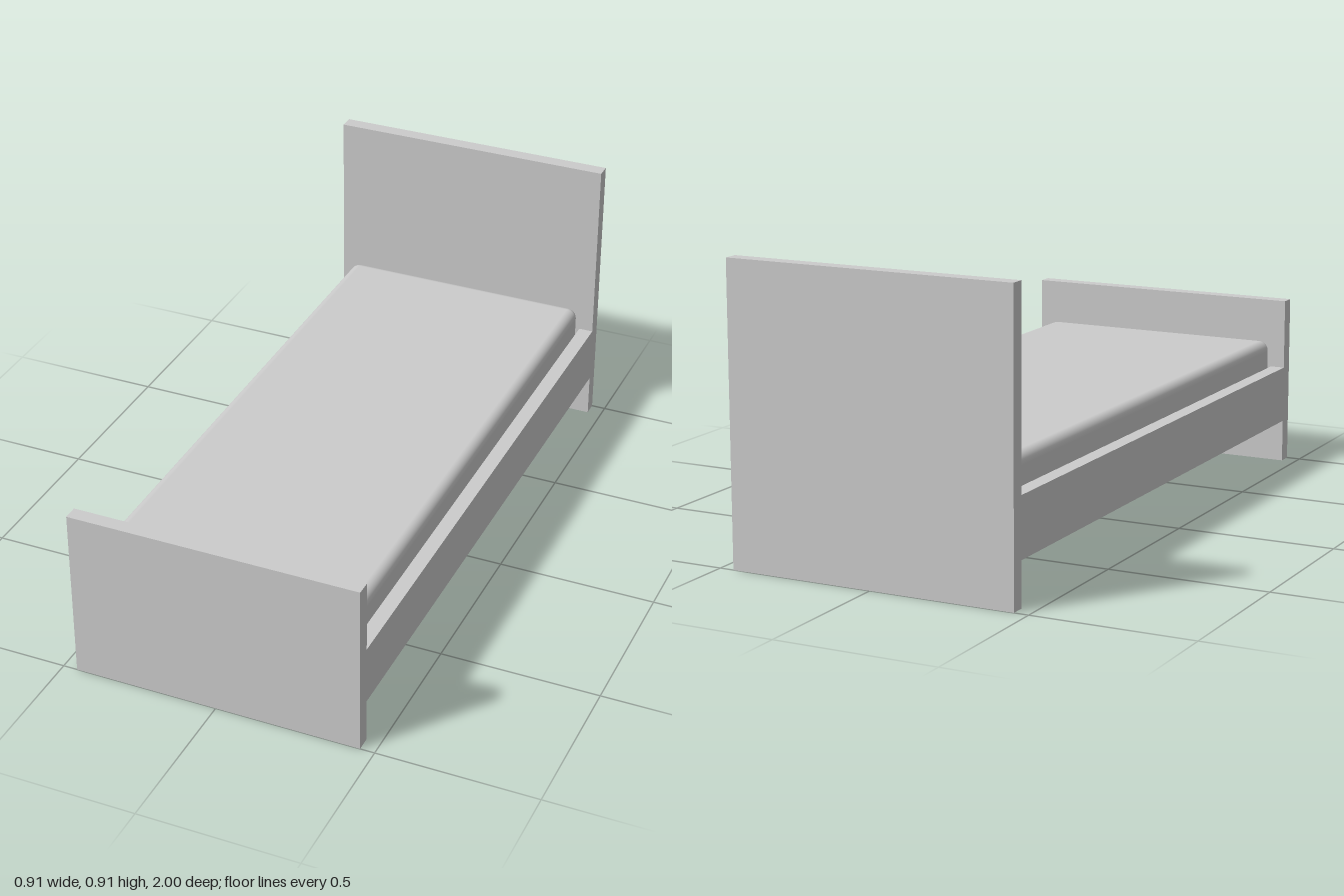
import * as THREE from 'three';
import { RoundedBoxGeometry } from 'three/addons/geometries/RoundedBoxGeometry.js';

const HALF_W = 0.455;   // half width of the bed
const BOARD = 0.046;    // thickness of the end boards and rails
const INNER = 1 - BOARD;

export function createModel() {
  const bed = new THREE.Group();
  bed.name = 'bed';
  const material = new THREE.MeshStandardMaterial({ color: 0xcccccc });

  const add = (name, geometry, x, y, z) => {
    const mesh = new THREE.Mesh(geometry, material);
    mesh.name = name;
    mesh.position.set(x, y, z);
    bed.add(mesh);
  };

  // End boards stand on the floor
  const addBoard = (name, height, side) =>
    add(name, new THREE.BoxGeometry(HALF_W * 2, height, BOARD), 0, height / 2, side * (1 - BOARD / 2));
  addBoard('headboard', 0.91, -1);
  addBoard('footboard', 0.546, 1);

  // Side rails and base as one U-shaped section running between the boards
  const railIn = HALF_W - BOARD, bottom = 0.137, deck = 0.185, top = 0.32;
  const section = new THREE.Shape([
    [-HALF_W, bottom], [HALF_W, bottom], [HALF_W, top], [railIn, top],
    [railIn, deck], [-railIn, deck], [-railIn, top], [-HALF_W, top],
  ].map(([x, y]) => new THREE.Vector2(x, y)));
  add('frame', new THREE.ExtrudeGeometry(section, { depth: INNER * 2, bevelEnabled: false }), 0, 0, -INNER);

  // Mattress rests on the base, with a narrow gap at the head end
  const mattressTop = 0.41, back = -0.94, front = 0.95;
  add('mattress',
    new RoundedBoxGeometry(railIn * 2 - 0.002, mattressTop - deck, front - back, 6, 0.032),
    0, (mattressTop + deck) / 2, (front + back) / 2);

  return bed;
}
